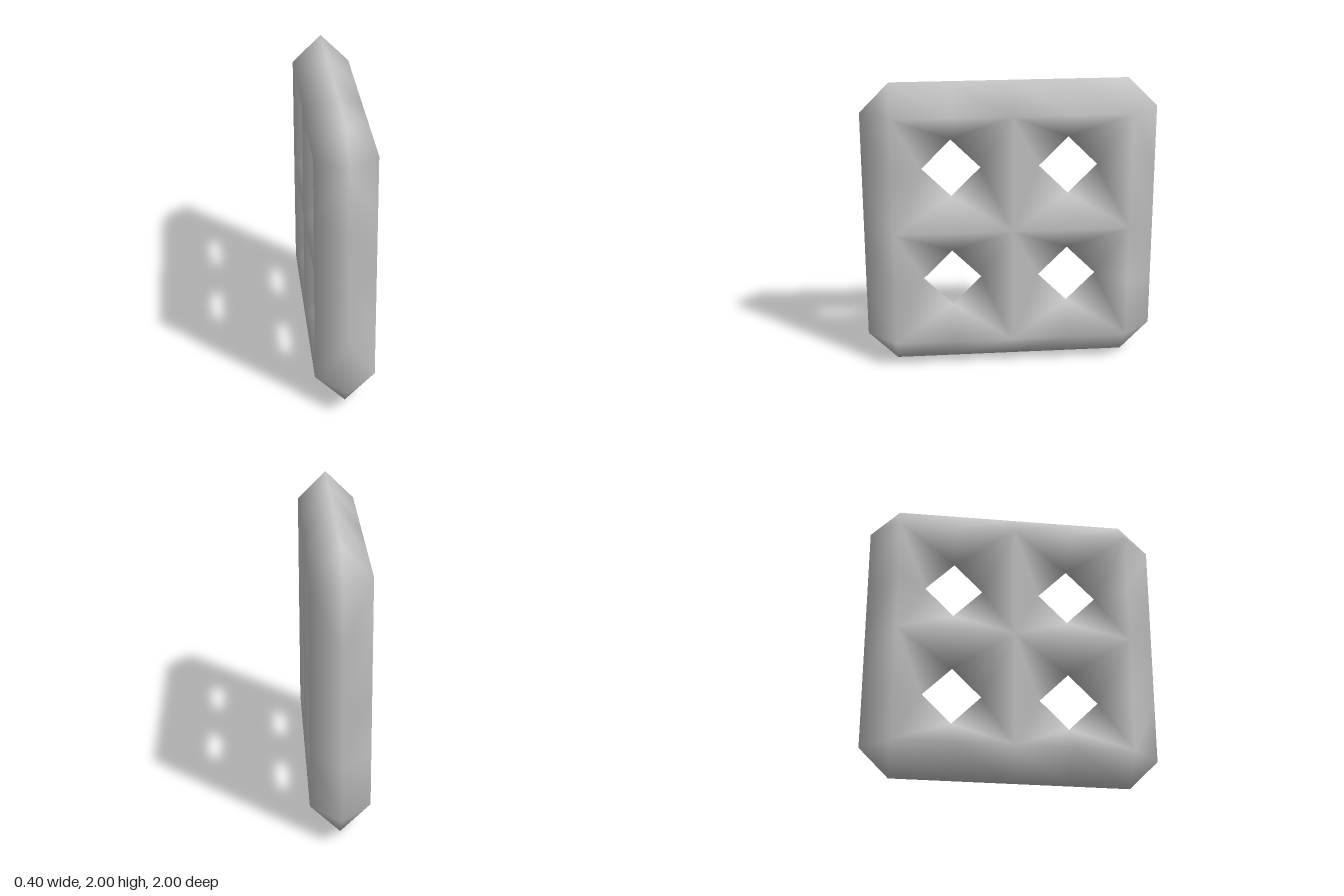
import * as THREE from 'three';

const STEP = 0.4;   // spacing of the lattice nodes
const R = 0.2;      // half thickness of the diamond-section bars

// The bars follow a 5 x 5 node grid with four empty nodes, the windows.
const solid = (j, k) =>
  Math.abs(j) <= 2 && Math.abs(k) <= 2 && !(j % 2 && k % 2);

function latticeGeometry() {
  const positions = [], indices = [], lookup = new Map();
  const vertex = (x, j, k) => {
    const key = `${x},${j},${k}`;
    if (!lookup.has(key)) {
      lookup.set(key, positions.length / 3);
      positions.push(x * R, 1 + j * STEP, k * STEP);
    }
    return lookup.get(key);
  };

  for (const side of [1, -1]) {
    for (let j = -3; j <= 2; j++) {
      for (let k = -3; k <= 2; k++) {
        const c = [[j, k], [j + 1, k], [j + 1, k + 1], [j, k + 1]];
        const full = c.map(([a, b]) => solid(a, b));
        const start = full.findIndex((f, i) => f && !full[(i + 2) % 4]);
        if (start < 0) continue;

        // Ridge points on solid nodes, rim points halfway to empty ones
        const loop = [];
        for (let n = 0; n < 4; n++) {
          const p = (start + n) % 4, q = (p + 1) % 4;
          if (full[p]) loop.push(vertex(side, ...c[p]));
          if (full[p] !== full[q]) {
            loop.push(vertex(0, (c[p][0] + c[q][0]) / 2, (c[p][1] + c[q][1]) / 2));
          }
        }
        // Fan out from the bar crossing, mirrored on the far side
        for (let n = 1; n < loop.length - 1; n++) {
          if (side > 0) indices.push(loop[0], loop[n], loop[n + 1]);
          else indices.push(loop[0], loop[n + 1], loop[n]);
        }
      }
    }
  }

  const geometry = new THREE.BufferGeometry();
  geometry.setAttribute('position', new THREE.Float32BufferAttribute(positions, 3));
  geometry.setIndex(indices);
  geometry.computeVertexNormals();
  return geometry;
}

export function createModel() {
  const group = new THREE.Group();
  group.name = 'windowLattice';
  const frame = new THREE.Mesh(
    latticeGeometry(),
    new THREE.MeshStandardMaterial({ color: 0xcccccc })
  );
  frame.name = 'latticeFrame';
  group.add(frame);
  return group;
}
